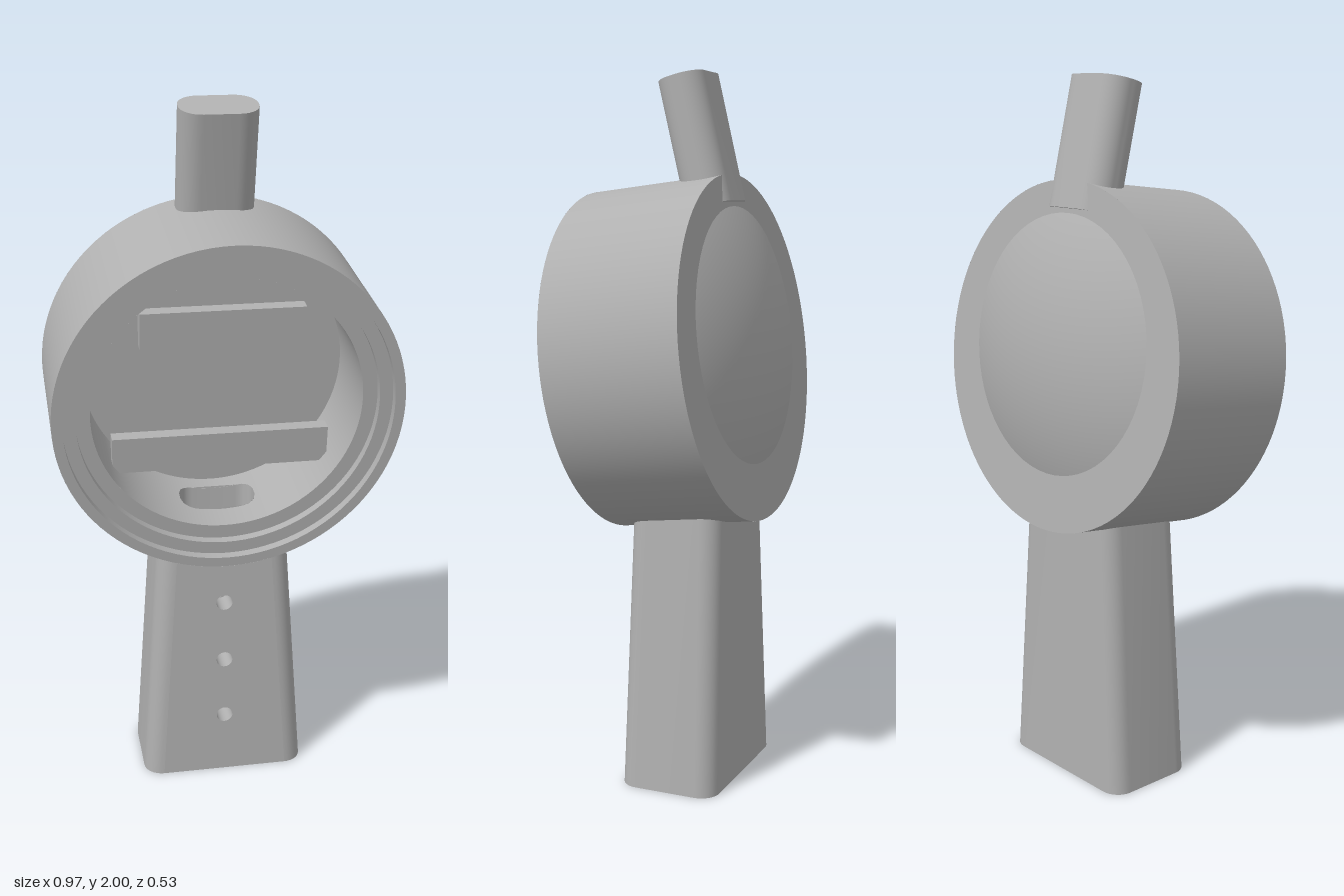
import * as THREE from 'three';
import { mergeGeometries, toCreasedNormals } from 'three/addons/utils/BufferGeometryUtils.js';
import { ParametricGeometry } from 'three/addons/geometries/ParametricGeometry.js';

const TILT = 0.119;                       // forward lean of the drum
const DRUM_Y = 1.219, DRUM_Z = 0.009;
const SLOT = { hw: 0.11, hd: 0.06, r: 0.045, z: -0.035 }; // cable shaft section
const R_OUT = 0.484, R_IN = 0.377;

// Rounded rectangle in x/z, starting and ending at the front flat.
function outline(hw, hd, r, cz) {
  const pts = [], sx = [1, 1, -1, -1], sz = [1, -1, -1, 1], n = 8;
  for (let c = 0; c < 4; c++) {
    for (let i = 0; i <= n; i++) {
      const a = (c + i / n) * Math.PI / 2;
      pts.push([sx[c] * (hw - r) + r * Math.sin(a), cz + sz[c] * (hd - r) + r * Math.cos(a)]);
    }
  }
  return pts;
}

// Ruled surface between two rows of 3D points.
function loft(low, high, closed) {
  const pos = [...low, ...high].flat(), idx = [], n = low.length;
  for (let i = 0; i < (closed ? n : n - 1); i++) {
    const j = (i + 1) % n;
    idx.push(i, j, n + j, i, n + j, n + i);
  }
  const g = new THREE.BufferGeometry();
  g.setAttribute('position', new THREE.Float32BufferAttribute(pos, 3));
  g.setIndex(idx);
  return toCreasedNormals(g, 0.5);
}

// Lathe around z with a sharp edge at every profile point.
function sharpLathe(profile) {
  const bands = [];
  for (let i = 0; i + 1 < profile.length; i++) {
    const pair = [profile[i], profile[i + 1]].map(p => new THREE.Vector2(p[0], p[1]));
    bands.push(new THREE.LatheGeometry(pair, 96));
  }
  return mergeGeometries(bands).rotateX(Math.PI / 2);
}

// Cylinder wall around z with a rounded opening at its lowest point.
function slottedWall(r, z0, z1, inward) {
  const half = Math.asin(SLOT.hw / r), zc = SLOT.z - DRUM_Z + TILT * r;
  const edge = a => {
    const over = Math.max(0, Math.abs(r * Math.sin(a)) - (SLOT.hw - SLOT.r));
    return SLOT.hd - SLOT.r + Math.sqrt(Math.max(0, SLOT.r ** 2 - over ** 2));
  };
  const patch = (a0, a1, lo, hi, n) => new ParametricGeometry((u, v, t) => {
    const a = a0 + (a1 - a0) * (inward ? 1 - u : u);
    t.set(r * Math.sin(a), -r * Math.cos(a), lo(a) + (hi(a) - lo(a)) * v);
  }, n, 1);
  return mergeGeometries([
    patch(half, 2 * Math.PI - half, () => z0, () => z1, 96),
    patch(-half, half, () => z0, a => zc - edge(a), 32),
    patch(-half, half, a => zc + edge(a), () => z1, 32),
  ]);
}

export function createModel() {
  const model = new THREE.Group();
  const grey = new THREE.MeshStandardMaterial({ color: 0xb0b0b0, side: THREE.DoubleSide });
  grey.name = 'plain grey';
  const add = (parent, name, geometry, x = 0, y = 0, z = 0) => {
    const m = new THREE.Mesh(geometry, grey);
    m.name = name;
    m.position.set(x, y, z);
    parent.add(m);
    return m;
  };

  // Tilted drum housing
  const drum = new THREE.Group();
  drum.name = 'drum';
  drum.position.set(0, DRUM_Y, DRUM_Z);
  drum.rotation.x = TILT;
  model.add(drum);
  add(drum, 'drumOuterWall', slottedWall(R_OUT, -0.2, 0.2, false));
  add(drum, 'drumBack', sharpLathe([[0, -0.2], [R_OUT, -0.2]]));
  add(drum, 'steppedRim', sharpLathe([[R_OUT, 0.2], [0.455, 0.2], [0.455, 0.175],
    [0.418, 0.175], [0.418, 0.15], [R_IN, 0.15]]));
  add(drum, 'cavityWall', slottedWall(R_IN, -0.115, 0.15, true));
  add(drum, 'cavityBack', sharpLathe([[R_IN, -0.115], [0, -0.115]]));

  // Shallow dome on the back
  const domeR = 0.92, domeEdge = 0.36;
  const dome = new THREE.SphereGeometry(domeR, 64, 16, 0, Math.PI * 2, 0, Math.asin(domeEdge / domeR));
  dome.rotateX(-Math.PI / 2);
  add(drum, 'backDome', dome, 0, 0.035, -0.2 + Math.sqrt(domeR ** 2 - domeEdge ** 2));

  // Mounting bars inside the cavity
  add(drum, 'upperBar', new THREE.BoxGeometry(0.46, 0.105, 0.04), 0, 0.19, 0.03);
  add(drum, 'lowerBar', new THREE.BoxGeometry(0.62, 0.108, 0.04), 0, -0.188, 0.03);

  // Tapered handle: rounded sides and back
  const handle = new THREE.Group();
  handle.name = 'handle';
  model.add(handle);
  const top = 0.81, r = 0.055;
  const base = { hw: 0.242, hd: 0.145 }, neck = { hw: 0.187, hd: 0.133 };
  const row = (s, y) => outline(s.hw, s.hd, r, SLOT.z).map(([x, z]) => [x, y, z]);
  add(handle, 'handleSides', loft(row(base, 0), row(neck, top), false));

  // Handle front with three screw holes
  const front = new THREE.Shape([
    new THREE.Vector2(-base.hw + r, 0), new THREE.Vector2(base.hw - r, 0),
    new THREE.Vector2(neck.hw - r, top), new THREE.Vector2(-neck.hw + r, top)]);
  const holeYs = [0.19, 0.38, 0.57], holeR = 0.024;
  for (const y of holeYs) front.holes.push(new THREE.Path().absarc(0, y, holeR, 0, Math.PI * 2, true));
  const frontGeo = new THREE.ShapeGeometry(front, 16);
  const p = frontGeo.attributes.position;
  const frontZ = y => SLOT.z + base.hd + (neck.hd - base.hd) * y / top;
  for (let i = 0; i < p.count; i++) p.setZ(i, frontZ(p.getY(i)));
  frontGeo.computeVertexNormals();
  add(handle, 'handleFront', frontGeo);
  for (const y of holeYs) {
    const inner = SLOT.z + SLOT.hd, len = frontZ(y) - inner;
    const bore = new THREE.CylinderGeometry(holeR, holeR, len, 32, 1, true).rotateX(Math.PI / 2);
    add(handle, 'screwHole', bore, 0, y, inner + len / 2);
  }

  // Handle underside with the shaft opening
  const toVec = ([x, z]) => new THREE.Vector2(x, z);
  const slotPts = outline(SLOT.hw, SLOT.hd, SLOT.r, SLOT.z);
  const under = new THREE.Shape(outline(base.hw, base.hd, r, SLOT.z).map(toVec));
  under.holes.push(new THREE.Path(slotPts.map(toVec)));
  add(handle, 'handleUnderside', new THREE.ShapeGeometry(under).rotateX(Math.PI / 2));

  // Hollow shaft, its top following the cavity floor
  const floorY = (x, z) => DRUM_Y - (z - DRUM_Z) * Math.tan(TILT)
    - Math.sqrt(R_IN ** 2 - x * x) / Math.cos(TILT);
  add(handle, 'shaft', loft(slotPts.map(([x, z]) => [x, 0, z]).reverse(),
    slotPts.map(([x, z]) => [x, floorY(x, z), z]).reverse(), true));

  // Leaning peg on top
  const pegLen = 0.36, pegLean = 0.233;
  const pegShape = new THREE.Shape(outline(0.108, 0.066, 0.06, 0).map(toVec));
  const pegGeo = new THREE.ExtrudeGeometry(pegShape, { depth: pegLen, bevelEnabled: false });
  pegGeo.rotateX(Math.PI / 2);
  const peg = add(model, 'topPeg', toCreasedNormals(pegGeo, 0.5), 0, 1.985, -0.005);
  peg.rotation.x = pegLean;

  return model;
}
